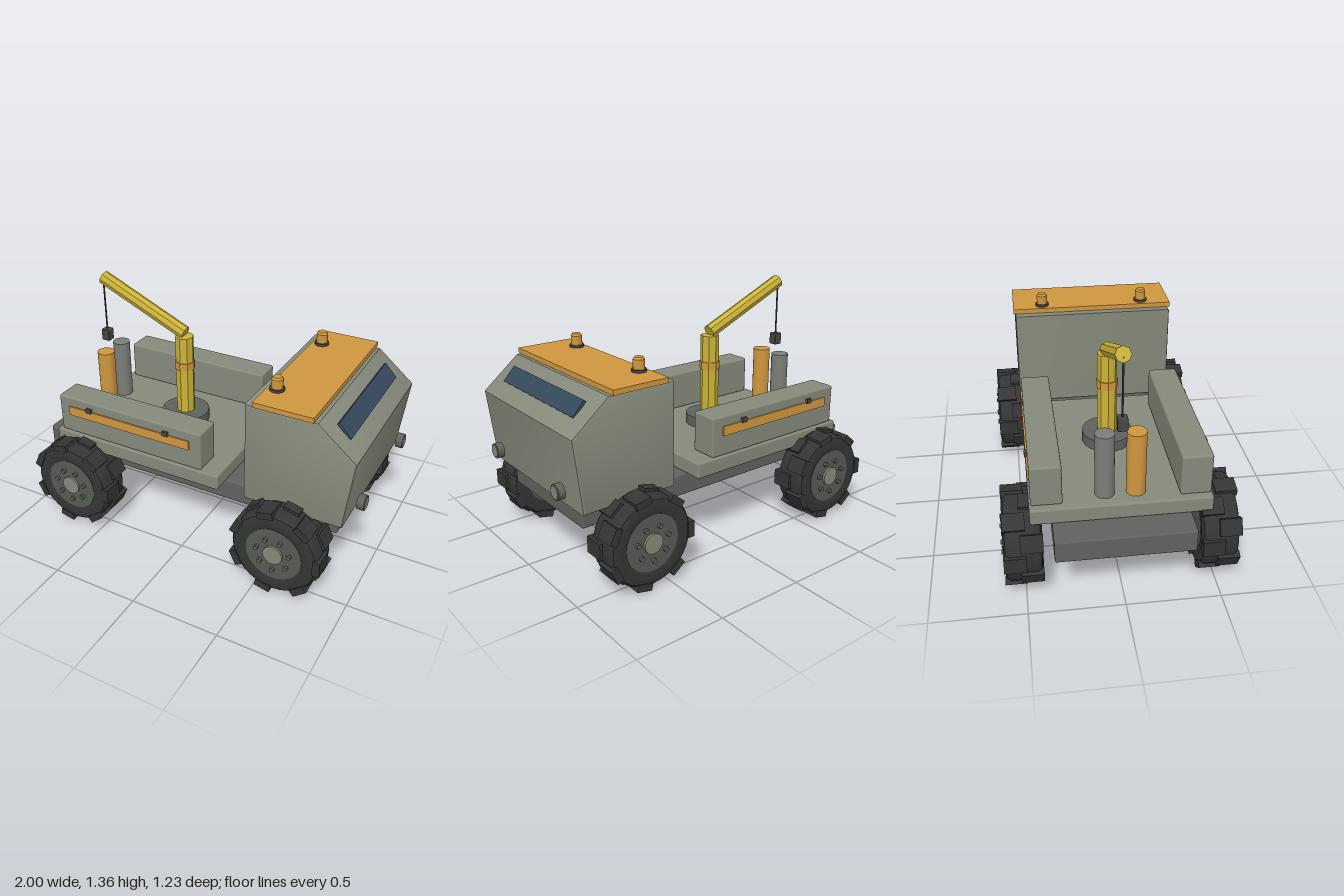
import * as THREE from 'three';
import { toCreasedNormals } from 'three/addons/utils/BufferGeometryUtils.js';
import { RoundedBoxGeometry } from 'three/addons/geometries/RoundedBoxGeometry.js';

const mat = (name, color) => {
  const m = new THREE.MeshStandardMaterial({ color });
  m.name = name;
  return m;
};

export function createModel() {
  const body = mat('body grey green', 0x868a7b);
  const frame = mat('frame grey', 0x5f625e);
  const rubber = mat('tyre rubber', 0x353535);
  const hubGrey = mat('hub grey', 0x575b54);
  const dark = mat('dark metal', 0x444745);
  const orange = mat('orange', 0xd0973f);
  const yellow = mat('crane yellow', 0xcbb338);
  const glass = mat('window blue', 0x35495c);
  const steel = mat('cylinder grey', 0x7b7e78);

  const model = new THREE.Group();
  model.name = 'craneTruck';

  const add = (name, geo, material, x = 0, y = 0, z = 0, parent = model) => {
    const m = new THREE.Mesh(geo, material);
    m.name = name;
    m.position.set(x, y, z);
    parent.add(m);
    return m;
  };
  // Box given by its limits on each axis, with optional rounded edges
  const block = (name, material, x0, x1, y0, y1, z0, z1, r = 0) => {
    const s = [x1 - x0, y1 - y0, z1 - z0];
    const geo = r ? new RoundedBoxGeometry(...s, 2, r) : new THREE.BoxGeometry(...s);
    return add(name, geo, material, (x0 + x1) / 2, (y0 + y1) / 2, (z0 + z1) / 2);
  };
  const cyl = (r, h, n = 24, rTop = r) =>
    toCreasedNormals(new THREE.CylinderGeometry(rTop, r, h, n), 0.6);

  // Chassis and load bed
  block('chassis', frame, -1, 0.865, 0.315, 0.44, -0.355, 0.355, 0.01);
  block('loadBed', body, -0.855, 0.215, 0.44, 0.53, -0.465, 0.465, 0.012);

  // Cab: side profile extruded across the width
  const profile = [[0.37, 0.45], [0.92, 0.45], [0.967, 0.85], [0.76, 1.022], [0.37, 1.022]];
  const bevel = 0.012;
  const cabGeo = new THREE.ExtrudeGeometry(
    new THREE.Shape(profile.map(p => new THREE.Vector2(...p))),
    { depth: 0.93 - 2 * bevel, bevelEnabled: true, bevelThickness: bevel, bevelSize: bevel, bevelOffset: -bevel, bevelSegments: 2 });
  cabGeo.translate(0, 0, -0.465 + bevel);
  add('cab', toCreasedNormals(cabGeo, 0.5), body);
  block('roofPlate', orange, 0.415, 0.74, 1.022, 1.05, -0.475, 0.475);
  const windscreen = add('windscreen', new THREE.BoxGeometry(0.1, 0.015, 0.72), glass, 0.857, 0.948, 0);
  windscreen.rotation.z = -0.83;

  for (const s of [1, -1]) {
    // Headlight
    const rim = add('headlightRim', cyl(0.042, 0.038), frame, 0.974, 0.545, s * 0.325);
    rim.rotation.z = -Math.PI / 2;
    const lens = add('headlightLens', cyl(0.034, 0.006), body, 0.994, 0.545, s * 0.325);
    lens.rotation.z = -Math.PI / 2;

    // Roof beacon
    add('beaconBase', cyl(0.04, 0.014, 16), dark, 0.47, 1.057, s * 0.3);
    const dome = [[0.031, 0], [0.031, 0.052], [0.023, 0.063], [0, 0.064]].map(p => new THREE.Vector2(...p));
    add('beacon', toCreasedNormals(new THREE.LatheGeometry(dome, 12), 0.6), orange, 0.47, 1.063, s * 0.3);

    // Side locker with stripe and latches
    const side = (name, m, x0, x1, y0, y1, a, b, r) =>
      block(name, m, x0, x1, y0, y1, Math.min(s * a, s * b), Math.max(s * a, s * b), r);
    side('sideLocker', body, -0.82, 0.11, 0.53, 0.757, 0.297, 0.457, 0.012);
    side('lockerStripe', orange, -0.75, 0.04, 0.645, 0.7, 0.456, 0.465);
    for (const x of [-0.61, -0.105]) {
      side('lockerLatch', dark, x - 0.017, x + 0.017, 0.693, 0.72, 0.45, 0.472);
    }

    // Upright gas cylinder
    add('gasCylinder', cyl(0.051, 0.355, 18), s > 0 ? orange : steel, -0.75, 0.7075, s * 0.08);
  }

  // Crane
  add('craneBase', cyl(0.14, 0.06, 18), frame, -0.25, 0.56, 0);
  add('cranePost', new THREE.CylinderGeometry(0.054, 0.054, 0.48, 8).toNonIndexed(), yellow, -0.248, 0.825, 0)
    .geometry.computeVertexNormals();
  add('postBand', cyl(0.06, 0.045, 8), orange, -0.248, 0.887, 0);
  const from = new THREE.Vector3(-0.242, 1.083, 0), to = new THREE.Vector3(-0.784, 1.322, 0);
  const dir = to.clone().sub(from);
  const boomGeo = new THREE.CylinderGeometry(0.04, 0.04, dir.length(), 8).toNonIndexed();
  boomGeo.computeVertexNormals();
  const boom = add('craneBoom', boomGeo, yellow);
  boom.position.copy(from).lerp(to, 0.5);
  boom.quaternion.setFromUnitVectors(new THREE.Vector3(0, 1, 0), dir.normalize());
  add('craneCable', cyl(0.005, 0.33, 8), dark, -0.787, 1.145, 0);
  add('hookBlock', new RoundedBoxGeometry(0.052, 0.07, 0.052, 1, 0.005), dark, -0.787, 0.96, 0);

  // Wheels: tyre ring, staggered lugs, hub, cap and bolts, with the outer face on +z
  const ring = [[0.155, -0.09], [0.2, -0.1], [0.232, -0.09], [0.245, -0.07], [0.245, 0.07],
    [0.232, 0.09], [0.2, 0.1], [0.155, 0.09], [0.155, -0.09]].map(p => new THREE.Vector2(...p));
  const tyreGeo = toCreasedNormals(new THREE.LatheGeometry(ring, 32), 0.6);
  tyreGeo.rotateX(Math.PI / 2);
  const lugGeo = new THREE.BoxGeometry(0.09, 0.04, 0.115);
  const disc = (r, h, n) => cyl(r, h, n).rotateX(Math.PI / 2);
  const hubGeo = disc(0.157, 0.186, 32), capGeo = disc(0.055, 0.03, 20), boltGeo = disc(0.013, 0.03, 8);

  const makeWheel = () => {
    const w = new THREE.Group();
    add('tyre', tyreGeo, rubber, 0, 0, 0, w);
    const lugs = 14;
    for (let i = 0; i < lugs; i++) {
      const a = (i + 0.5) / lugs * Math.PI * 2;
      const lug = add('treadLug', lugGeo, rubber, Math.sin(a) * 0.239, Math.cos(a) * 0.239, i % 2 ? 0.043 : -0.043, w);
      lug.rotation.z = -a;
    }
    add('hub', hubGeo, hubGrey, 0, 0, 0, w);
    add('hubCap', capGeo, body, 0, 0, 0.09, w);
    for (let i = 0; i < 7; i++) {
      const a = i / 7 * Math.PI * 2 + 0.25;
      add('wheelBolt', boltGeo, frame, Math.cos(a) * 0.095, Math.sin(a) * 0.095, 0.097, w);
    }
    return w;
  };
  for (const [x, end] of [[-0.68, 'rear'], [0.613, 'front']]) {
    for (const s of [1, -1]) {
      const w = makeWheel();
      w.name = end + 'Wheel';
      w.position.set(x, 0.26, s * 0.505);
      if (s < 0) w.rotation.y = Math.PI;
      model.add(w);
    }
  }
  return model;
}
